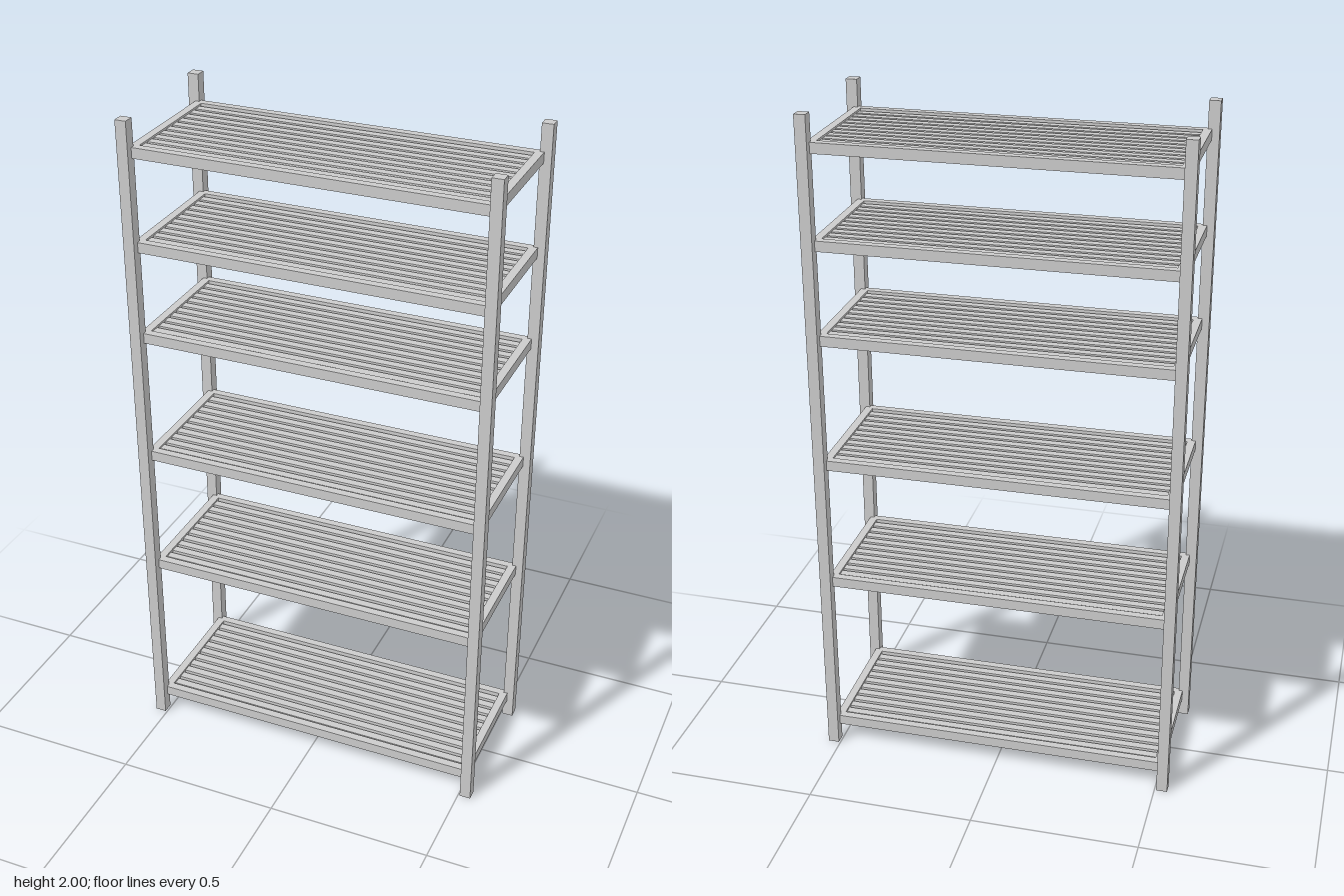
import * as THREE from 'three';

export function createModel() {
  const model = new THREE.Group();
  const material = new THREE.MeshStandardMaterial({ color: 0xcccccc, flatShading: true });

  const addBox = (parent, name, size, position) => {
    const mesh = new THREE.Mesh(new THREE.BoxGeometry(...size), material);
    mesh.name = name;
    mesh.position.set(...position);
    parent.add(mesh);
  };

  const postX = 0.522, postZ = 0.209, postSize = 0.033;
  const railWidth = 0.024, railHeight = 0.031;
  const sideX = 0.5055, longZ = 0.193;
  const slatCount = 10, slatPitch = 0.0354, slatHeight = 0.024;

  // Four corner posts
  for (const [side, sx] of [['left', 1], ['right', -1]]) {
    for (const [end, sz] of [['Front', 1], ['Back', -1]]) {
      addBox(model, `${side}${end}Post`, [postSize, 2, postSize], [sx * postX, 1, sz * postZ]);
    }
  }

  // Slatted shelves, each a rectangular frame with slats running lengthwise
  [0.071, 0.57, 0.96, 1.35, 1.63, 1.905].forEach((y, level) => {
    const shelf = new THREE.Group();
    shelf.name = `shelf${level + 1}`;
    shelf.position.y = y;

    for (const s of [1, -1]) {
      addBox(shelf, s > 0 ? 'frontRail' : 'backRail',
        [2 * (postX - postSize / 2), railHeight, railWidth], [0, 0, s * longZ]);
      addBox(shelf, s > 0 ? 'leftRail' : 'rightRail',
        [railWidth, railHeight, 2 * (postZ - postSize / 2)], [s * sideX, 0, 0]);
    }

    for (let i = 0; i < slatCount; i++) {
      const z = (i - (slatCount - 1) / 2) * slatPitch;
      addBox(shelf, `slat${i + 1}`,
        [2 * sideX - railWidth, slatHeight, 0.0243], [0, -0.002, z]);
    }
    model.add(shelf);
  });

  return model;
}
